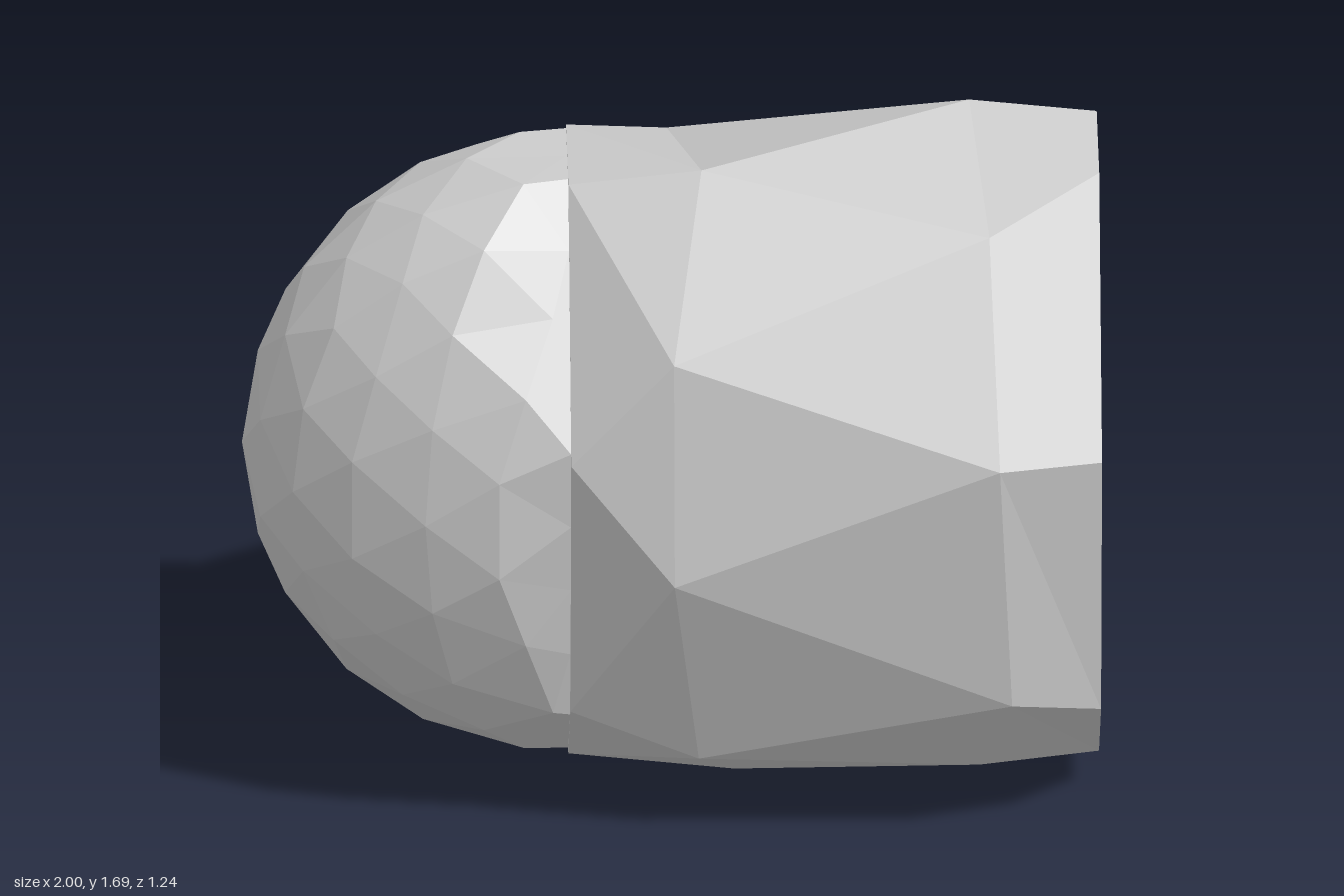
import * as THREE from 'three';

const CY = 0.845;                       // height of the long axis
const RX = 0.76, RY = 0.765, RZ = 0.53; // radii of the domed end
const START = -0.24, END = 1;           // joint and open rim along x
// Corner angles of the nine-sided ends, from the top to the front and around
const ANGLES = [106, 72, 13, -42, -75, -105, -140, -172, 160];
const N = ANGLES.length;
const rad = THREE.MathUtils.degToRad;

function flatMesh(name, tris, side = THREE.FrontSide) {
  const g = new THREE.BufferGeometry().setFromPoints(tris.flat());
  g.computeVertexNormals();
  const mesh = new THREE.Mesh(g, new THREE.MeshStandardMaterial({ color: 0xcccccc, flatShading: true, side }));
  mesh.name = name;
  return mesh;
}

// Triangles of a twice-halved icosahedron with its pole along z
function sphereTriangles() {
  const g = new THREE.IcosahedronGeometry(1, 0);
  g.rotateY(-Math.atan2((1 + Math.sqrt(5)) / 2, 1));
  const p = g.getAttribute('position');
  const at = (i) => new THREE.Vector3().fromBufferAttribute(p, i);
  let tris = [];
  for (let i = 0; i < p.count; i += 3) tris.push([at(i), at(i + 1), at(i + 2)]);
  const mid = (a, b) => a.clone().add(b).normalize();
  for (let level = 0; level < 2; level++) {
    tris = tris.flatMap(([a, b, c]) => {
      const ab = mid(a, b), bc = mid(b, c), ca = mid(c, a);
      return [[a, ab, ca], [ab, b, bc], [ca, bc, c], [ab, bc, ca]];
    });
  }
  return tris;
}

// Distance from the axis to the nine-sided outline in direction a
function outlineRadius(a) {
  let r = 1;
  ANGLES.forEach((deg, i) => {
    const half = ((deg - ANGLES[(i + 1) % N] + 360) % 360) / 2;
    const c = Math.cos(a - rad(deg - half));
    if (c > 0.1) r = Math.min(r, Math.cos(rad(half)) / c);
  });
  return r;
}

// Half ellipsoid whose open edge follows the nine-sided outline at x = cx
function halfEllipsoid(cx, inward) {
  const place = (v) => {
    const a = Math.atan2(v.y, v.z), edge = outlineRadius(a);
    const r = v.x > -0.01 ? edge : Math.min(Math.hypot(v.y, v.z), edge - 0.45 * v.x);
    return new THREE.Vector3(cx + RX * Math.min(v.x, 0), CY + RY * r * Math.sin(a), RZ * r * Math.cos(a));
  };
  return sphereTriangles()
    .filter((t) => Math.min(...t.map((v) => v.x)) < -0.01)
    .map((t) => (inward ? t.map(place).reverse() : t.map(place)));
}

// Nine-cornered section on the ellipse
function section(x, scale) {
  return ANGLES.map((deg, i) => new THREE.Vector3(
    x, CY + RY * scale(i) * Math.sin(rad(deg)), RZ * scale(i) * Math.cos(rad(deg))));
}

export function createModel() {
  const group = new THREE.Group();
  const points = (rows) => rows.map((r) => new THREE.Vector3(...r));

  // Faceted body: joint ring, two irregular rings, open rim
  const joint = section(START, () => 1.01);
  const ringA = points([
    [0.07, 1.63, 0.2], [0, 1.28, 0.53], [0, 0.75, 0.62], [0.06, 0.21, 0.41], [0.15, 0, 0.02],
    [0.1, 0.13, -0.33], [0.03, 0.5, -0.57], [0.03, 0.97, -0.62], [0, 1.44, -0.44],
  ]);
  const ringB = points([
    [0.7, 1.69, -0.05], [0.74, 1.52, 0.35], [0.76, 1.04, 0.62], [0.79, 0.39, 0.52], [0.72, 0.09, 0.2],
    [0.62, 0.03, -0.2], [0.7, 0.35, -0.5], [0.7, 0.71, -0.58], [0.76, 1.35, -0.52],
  ]);
  const rim = section(END, (i) => (i === 7 ? 1.1 : i < 2 ? 1.04 : 1.015));

  // Narrow flat edges that meet the dome and the socket
  const jointInner = section(START, () => 0.96);
  const rimInner = section(END, () => 0.97);

  const body = [], edges = [];
  for (let i = 0; i < N; i++) {
    const next = (i + 1) % N, prev = (i + N - 1) % N;
    body.push([joint[i], ringA[i], ringA[prev]], [joint[i], joint[next], ringA[i]]);
    body.push([ringA[prev], ringA[i], ringB[i]], [ringA[i], ringB[next], ringB[i]]);
    body.push([ringB[i], ringB[next], rim[next]], [ringB[i], rim[next], rim[i]]);
    edges.push([rim[i], rim[next], rimInner[next]], [rim[i], rimInner[next], rimInner[i]]);
    edges.push([joint[i], jointInner[next], joint[next]], [joint[i], jointInner[i], jointInner[next]]);
  }
  group.add(flatMesh('body', body, THREE.DoubleSide));
  group.add(flatMesh('edges', edges, THREE.DoubleSide));

  // Rounded end and the matching hollow at the other end
  group.add(flatMesh('dome', halfEllipsoid(START, false), THREE.DoubleSide));
  group.add(flatMesh('socket', halfEllipsoid(END, true), THREE.DoubleSide));
  return group;
}
